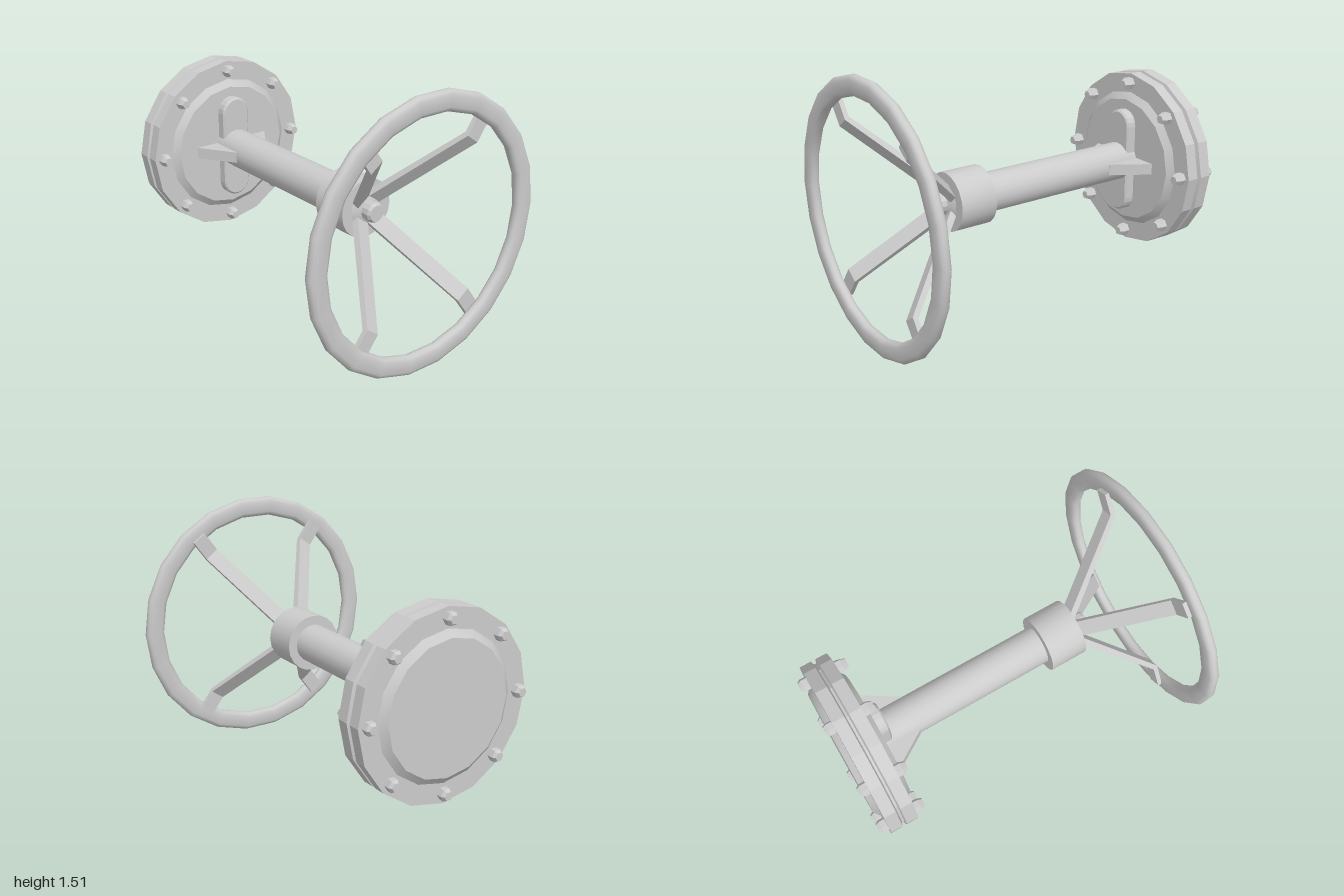
import * as THREE from 'three';
import { toCreasedNormals } from 'three/addons/utils/BufferGeometryUtils.js';

const material = new THREE.MeshStandardMaterial({ color: 0xcccccc });

// Solid of revolution about the x axis; profile points are [radius, x], x rising along the outside
function turned(profile, sides, crease) {
  const points = profile.map(([r, x]) => new THREE.Vector2(r, x));
  const geometry = new THREE.LatheGeometry(points, sides).rotateZ(-Math.PI / 2);
  return toCreasedNormals(geometry, crease);
}

// Flat outline extruded along z and centred on z = 0
function plate(outline, thickness) {
  const shape = new THREE.Shape(outline.map(([x, y]) => new THREE.Vector2(x, y)));
  return new THREE.ExtrudeGeometry(shape, { depth: thickness, bevelEnabled: false })
    .translate(0, 0, -thickness / 2);
}

export function createModel() {
  const model = new THREE.Group();
  model.position.y = 0.757;
  const add = (name, geometry) => {
    const mesh = new THREE.Mesh(geometry, material);
    mesh.name = name;
    model.add(mesh);
    return mesh;
  };

  // Pair of bolted flanges, mirrored about a narrow groove
  const middle = -0.866;
  const half = [[0.5, 0], [0.5, 0.006], [0.523, 0.014], [0.523, 0.083],
    [0.41, 0.083], [0.37, 0.115], [0, 0.115]];
  const profile = [
    ...half.slice(1).reverse().map(([r, x]) => [r, middle - x]),
    ...half.map(([r, x]) => [r, middle + x]),
  ];
  add('flanges', turned(profile, 16, 0.25));

  // Ring of bolts through both flanges, with tapered hexagonal heads
  const bolt = turned([[0, -1], [0.025, -1], [0.037, -0.982], [0.037, -0.75],
    [0.025, -0.72], [0, -0.72]].map(([r, x]) => [r, x]), 6, 0.25);
  for (let i = 0; i < 8; i++) {
    const a = (i * Math.PI) / 4;
    add('bolt', bolt).position.set(0, 0.465 * Math.cos(a), 0.465 * Math.sin(a));
  }

  // Raised slot-shaped pad on the flange face
  const slot = new THREE.Shape();
  slot.absarc(0, 0.222, 0.08, 0, Math.PI);
  slot.absarc(0, -0.222, 0.08, Math.PI, 2 * Math.PI);
  slot.closePath();
  add('slotPad', new THREE.ExtrudeGeometry(slot, {
    depth: 0.06, curveSegments: 5, bevelSegments: 1,
    bevelSize: 0.01, bevelThickness: 0.01,
  }).rotateY(Math.PI / 2).translate(-0.763, 0, 0));

  // Shaft, collar, hub cone and end nut
  add('shaft', turned([[0, -0.76], [0.112, -0.76], [0.112, 0.3], [0, 0.3]], 20, 0.6));
  add('collar', turned([[0, 0.29], [0.166, 0.29], [0.166, 0.51], [0, 0.51]], 20, 0.6));
  add('hubCone', turned([[0.11, 0.505], [0.06, 0.535], [0, 0.535]], 20, 0.8));
  add('endNut', turned([[0.055, 0.51], [0.057, 0.58], [0.047, 0.597], [0, 0.597]], 12, 0.4));

  // Triangular side ribs between flange and shaft
  const rib = plate([[-0.76, 0.08], [-0.54, 0.08], [-0.54, 0.112], [-0.755, 0.25], [-0.76, 0.25]], 0.065);
  for (const side of [-1, 1]) add('sideRib', rib).rotation.x = side * Math.PI / 2;

  // Four bent spokes reaching from the hub to behind the rim
  const spoke = plate([
    [0.5, 0.065], [0.53, 0.065], [0.94, 0.545], [0.94, 0.69],
    [0.913, 0.69], [0.913, 0.56], [0.5, 0.09],
  ], 0.088);
  const lean = 0.63;
  for (const angle of [lean, -lean, Math.PI - lean, Math.PI + lean]) {
    add('spoke', spoke).rotation.x = angle;
  }

  // Handwheel rim with rounded edges
  const cx = 0.967, h = 0.03, inner = 0.65, outer = 0.762;
  const rim = [
    [inner + 0.025, cx - h], [outer - 0.025, cx - h], [outer - 0.008, cx - h * 0.75],
    [outer, cx - h * 0.3], [outer, cx + h * 0.3], [outer - 0.008, cx + h * 0.75],
    [outer - 0.025, cx + h], [inner + 0.025, cx + h], [inner + 0.008, cx + h * 0.75],
    [inner, cx + h * 0.3], [inner, cx - h * 0.3], [inner + 0.008, cx - h * 0.75],
    [inner + 0.025, cx - h],
  ];
  add('handwheelRim', turned(rim, 22, 0.7));

  const group = new THREE.Group();
  group.add(model);
  model.name = 'valveHandle';
  return group;
}
